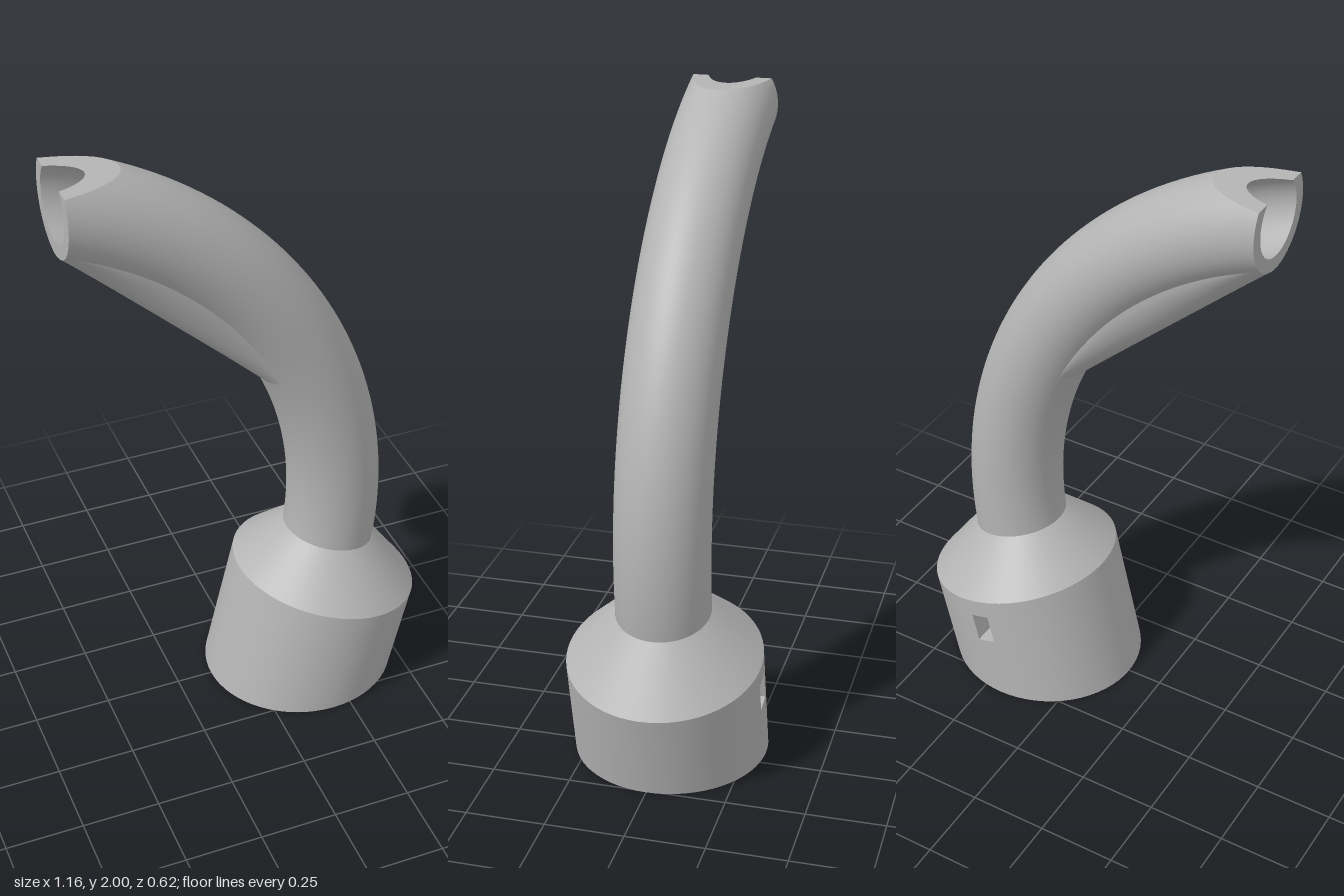
import * as THREE from 'three';

const SEG = 64;
const TILT = 0.235;                       // lean of the socket
const ARC = { x: -0.983, y: 0.7, R: 1.283 }; // centre line of the bent pipe
const CUT_X = -0.58, CUT_Y = 2;           // planes that trim the spout tip

// Grid surface: point(i, j) for i in 0..rows, j in 0..cols; wrap closes it around j
function grid(rows, cols, wrap, point, skip = () => false) {
  const pos = [], idx = [], n = wrap ? cols : cols + 1;
  for (let i = 0; i <= rows; i++) for (let j = 0; j < n; j++) pos.push(...point(i, j));
  for (let i = 0; i < rows; i++) for (let j = 0; j < cols; j++) {
    if (skip(i, j)) continue;
    const k = (j + 1) % n, a = i * n + j, b = i * n + k, c = a + n, d = b + n;
    idx.push(a, c, b, b, c, d);
  }
  const g = new THREE.BufferGeometry();
  g.setAttribute('position', new THREE.Float32BufferAttribute(pos, 3));
  g.setIndex(idx);
  g.computeVertexNormals();
  return g;
}

export function createModel() {
  const root = new THREE.Group();
  const grey = new THREE.MeshStandardMaterial({ color: 0xb4b4b4, side: THREE.DoubleSide });
  grey.name = 'plainGrey';
  const add = (parent, name, geo) => {
    const m = new THREE.Mesh(geo, grey);
    m.name = name;
    parent.add(m);
    return m;
  };

  // Socket, built along its own leaning axis with its shoulder rim at local y = 0
  const socket = new THREE.Group();
  socket.name = 'socket';
  socket.position.set(0.275, 0.365, 0);
  socket.rotation.z = -TILT;
  root.add(socket);

  const angle = j => (j / SEG) * Math.PI * 2;
  // ring of radius r at height y; y = null means trimmed by the ground plane
  const ring = (r, y, cx = 0) => j => {
    const c = Math.cos(angle(j)) * r, s = Math.sin(angle(j)) * r;
    const h = y === null ? -(0.365 - c * Math.sin(TILT)) / Math.cos(TILT) : y;
    return [cx + c, h, s];
  };
  const band = (name, rings, skip) =>
    add(socket, name, grid(rings.length - 1, SEG, true, (i, j) => rings[i](j), skip));

  const back = SEG * 0.75; // column facing the back, where the slot opens
  band('socketWall', [ring(0.31, null), ring(0.31, -0.16), ring(0.31, -0.06), ring(0.31, 0)],
    (i, j) => i === 1 && (j === back || j === back - 1));
  band('socketShoulder', [ring(0.31, 0), ring(0.15, 0.159, -0.023)]);
  band('socketFoot', [ring(0.31, null), ring(0.205, null)]);
  band('socketBore', [ring(0.205, null), ring(0.205, -0.2)]);
  band('boreLedge', [ring(0.205, -0.2), ring(0.18, -0.2)]);
  band('upperBore', [ring(0.18, -0.2), ring(0.18, -0.04)]);
  band('boreTaper', [ring(0.18, -0.04), ring(0.11, 0.159, -0.023)]);

  // Slot pocket: a box without its outward face
  const pocket = new THREE.BoxGeometry(0.061, 0.1, 0.1);
  pocket.setIndex(Array.from(pocket.index.array).slice(0, 30));
  add(socket, 'slotPocket', pocket).position.set(0, -0.11, -0.2585);

  // Bent pipe: every lengthwise line runs until it meets a trimming plane
  const onArc = (rho, t, z) => [ARC.x + rho * Math.cos(t), ARC.y + rho * Math.sin(t), z];
  const cutRho = Math.hypot(CUT_X - ARC.x, CUT_Y - ARC.y);
  // angles around the pipe, with columns exactly on the corner between both planes
  const around = (r, j) => {
    const c = Math.acos((cutRho - ARC.R) / r), q = 10;
    if (j <= q) return c * j / q;
    if (j >= SEG - q) return Math.PI * 2 - c * (SEG - j) / q;
    return c + (Math.PI * 2 - 2 * c) * (j - q) / (SEG - 2 * q);
  };
  const pipePoint = (r, s, j) => {
    const a = around(r, j), rho = ARC.R + r * Math.cos(a), start = -0.157;
    let end = Math.acos((CUT_X - ARC.x) / rho);
    if (rho > CUT_Y - ARC.y) end = Math.min(end, Math.asin((CUT_Y - ARC.y) / rho));
    return onArc(rho, start + (end - start) * s, r * Math.sin(a));
  };
  const rows = 48;
  for (const [name, r] of [['pipe', 0.15], ['pipeBore', 0.11]])
    add(root, name, grid(rows, SEG, true, (i, j) => pipePoint(r, i / rows, j)));
  // flat faces at the tip
  const tip = grid(1, SEG, true, (i, j) => pipePoint(i ? 0.11 : 0.15, 1, j)).toNonIndexed();
  tip.computeVertexNormals();
  add(root, 'pipeTip', tip);

  // Web that fills the inside of the bend down to a straight chord
  const t0 = 0.447, t1 = 1.208, mid = (t0 + t1) / 2, inner = ARC.R - 0.15, w = 0.1;
  const chord = inner * Math.cos((t1 - t0) / 2);
  add(root, 'bendWeb', grid(32, 20, false, (i, j) => {
    const t = t0 + (t1 - t0) * i / 32, p = Math.PI * j / 20, z = w * Math.cos(p);
    const depth = inner - chord / Math.cos(t - mid);
    return onArc(ARC.R - Math.sqrt(0.0225 - z * z) - depth * Math.sin(p), t, z);
  }));

  return root;
}
